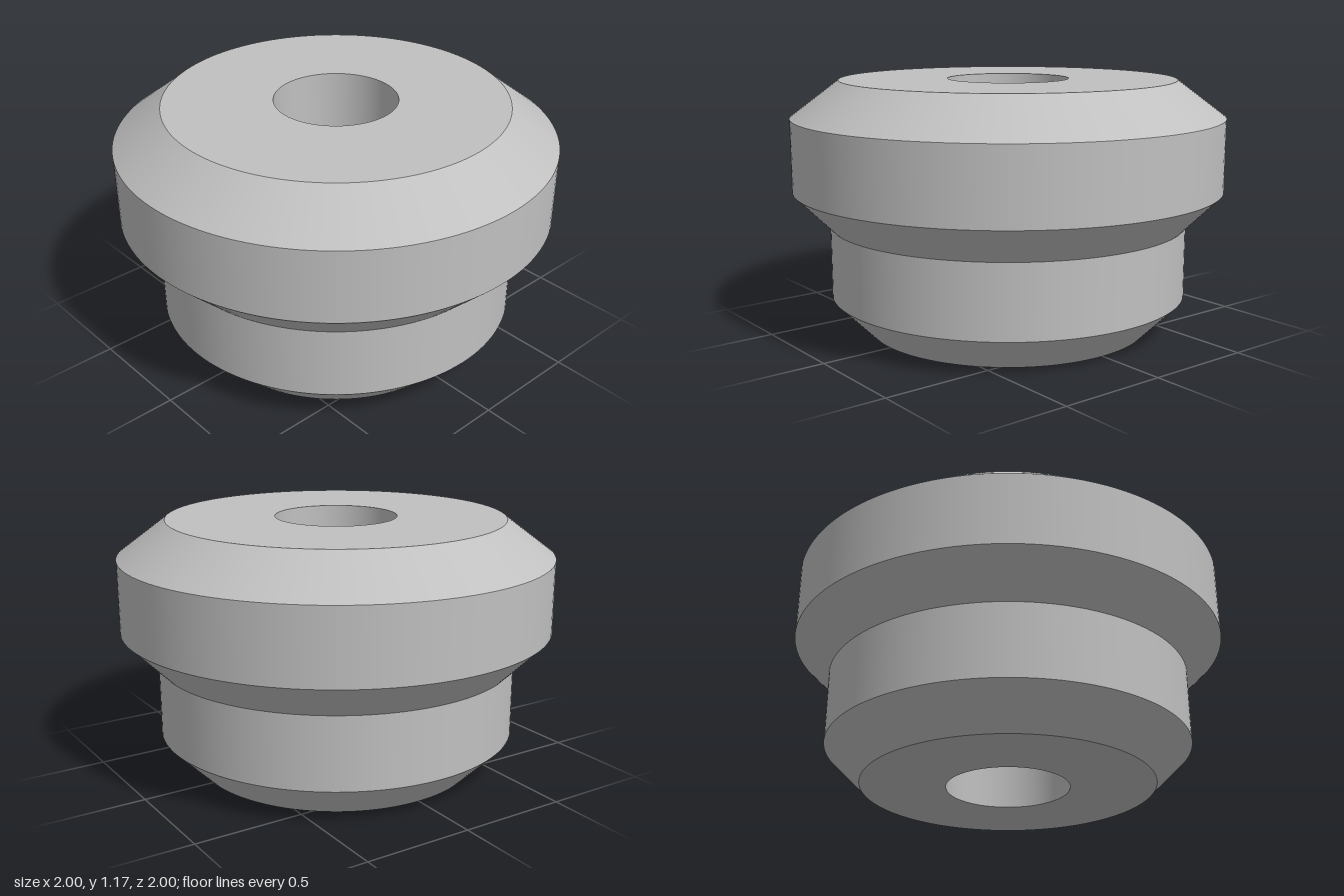
import * as THREE from 'three';

// Corners of the ring's cross-section [radius, height], from the bore's bottom edge round to its top edge
const PROFILE = [
  [0.28, 0], [0.667, 0], [0.833, 0.167], [0.833, 0.5],
  [1, 0.667], [1, 1], [0.778, 1.167], [0.28, 1.167],
];
const NAMES = [
  'bottomFace', 'bottomChamfer', 'lowerBand', 'middleChamfer',
  'upperBand', 'topChamfer', 'topFace', 'boreWall',
];

export function createModel() {
  const group = new THREE.Group();
  group.name = 'steppedBushing';
  const grey = new THREE.MeshStandardMaterial({ color: 0xc0c0c0 });
  grey.name = 'grey';

  // One lathe per profile edge: smooth around the axis, sharp between bands
  NAMES.forEach((name, i) => {
    const ends = [PROFILE[i], PROFILE[(i + 1) % PROFILE.length]];
    const points = ends.map(([r, y]) => new THREE.Vector2(r, y));
    const mesh = new THREE.Mesh(new THREE.LatheGeometry(points, 128), grey);
    mesh.name = name;
    group.add(mesh);
  });
  return group;
}
